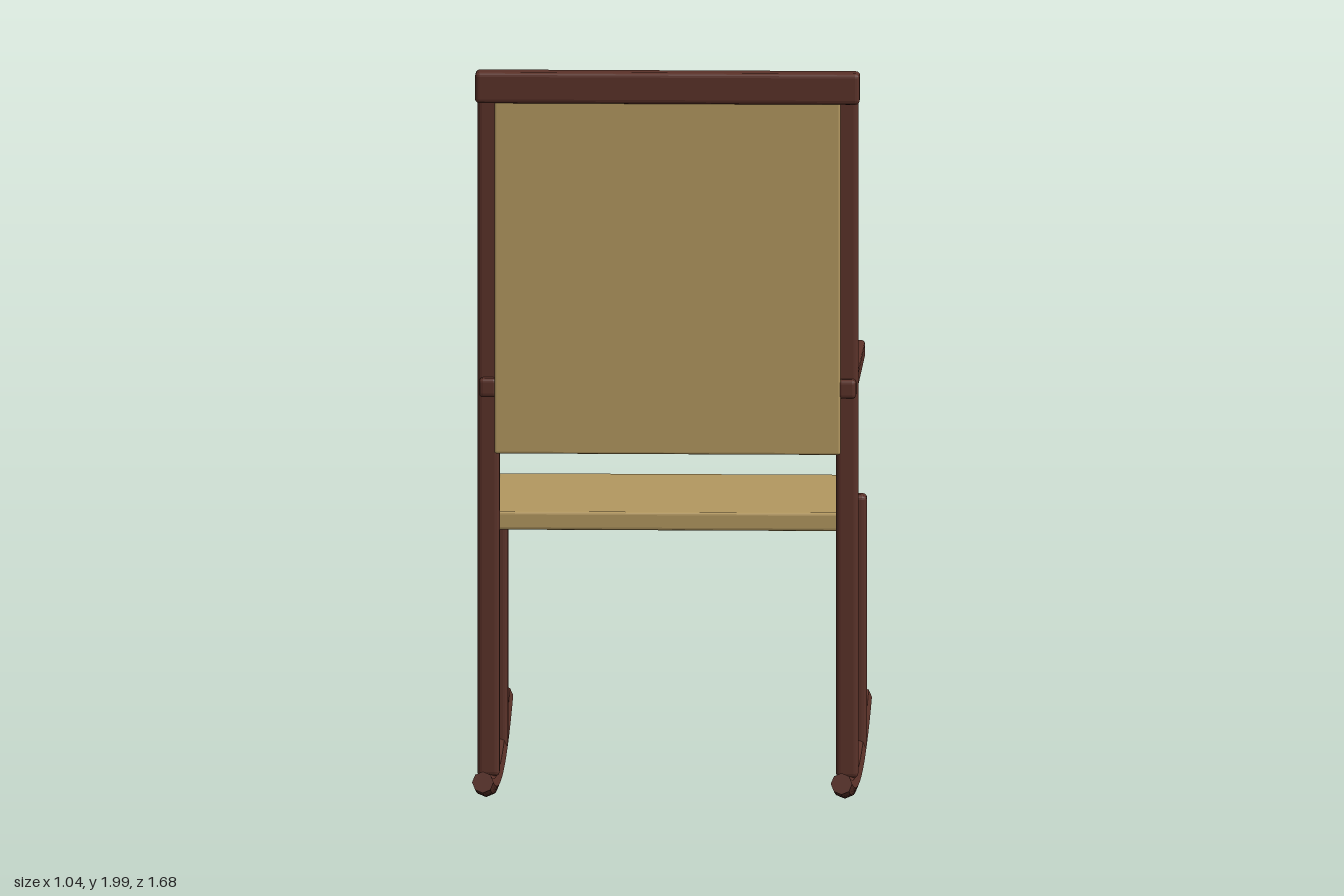
import * as THREE from 'three';
import { RoundedBoxGeometry } from 'three/addons/geometries/RoundedBoxGeometry.js';

const wood = new THREE.MeshStandardMaterial({ color: 0x5a3128, flatShading: true });
const cane = new THREE.MeshStandardMaterial({ color: 0xb39860, flatShading: true });

// Softly bevelled bar given by its min and max corners
function bar(name, min, max, bevel, material) {
  const size = max.map((v, i) => v - min[i]);
  const mesh = new THREE.Mesh(new RoundedBoxGeometry(...size, 2, bevel), material);
  mesh.position.set(...max.map((v, i) => (v + min[i]) / 2));
  mesh.name = name;
  return mesh;
}

// Curved runner: an octagonal section swept along a shallow arc
function runner(name, x) {
  const radius = 0.029, R = 3.9, half = 0.215;
  const points = [];
  for (let i = 0; i <= 16; i++) {
    const a = -half + (2 * half * i) / 16;
    points.push(new THREE.Vector3(x, 0.037 + R * (1 - Math.cos(a)), R * Math.sin(a)));
  }
  const section = new THREE.Shape();
  for (let i = 0; i < 8; i++) {
    const a = (i * Math.PI) / 4;
    section[i ? 'lineTo' : 'moveTo'](radius * Math.cos(a), radius * Math.sin(a));
  }
  section.closePath();
  const geometry = new THREE.ExtrudeGeometry(section, {
    steps: 24, bevelEnabled: false, extrudePath: new THREE.CatmullRomCurve3(points),
  });
  const mesh = new THREE.Mesh(geometry, wood);
  mesh.name = name;
  return mesh;
}

export function createModel() {
  const chair = new THREE.Group();
  chair.name = 'rockingChair';

  // Paired parts, one set on each side
  for (const [side, s] of [['left', 1], ['right', -1]]) {
    const x = s * 0.484;
    const post = (name, w, y0, y1, z0, z1, bevel) =>
      bar(`${side}${name}`, [x - w, y0, z0], [x + w, y1, z1], bevel, wood);
    chair.add(
      post('BackPost', 0.03, 0.075, 1.935, 0.305, 0.366, 0.013),
      post('SeatPost', 0.03, 0.05, 0.745, -0.405, -0.345, 0.013),
      post('Armrest', 0.025, 1.112, 1.164, -0.39, 0.394, 0.011),
      runner(`${side}Runner`, x),
    );
  }

  // Seat, back panel and top rail
  chair.add(
    bar('seat', [-0.482, 0.74, -0.43], [0.482, 0.79, 0.31], 0.008, cane),
    bar('backPanel', [-0.467, 0.96, 0.362], [0.467, 1.94, 0.396], 0.006, cane),
    bar('topRail', [-0.519, 1.915, 0.337], [0.519, 2, 0.408], 0.012, wood),
  );
  return chair;
}
